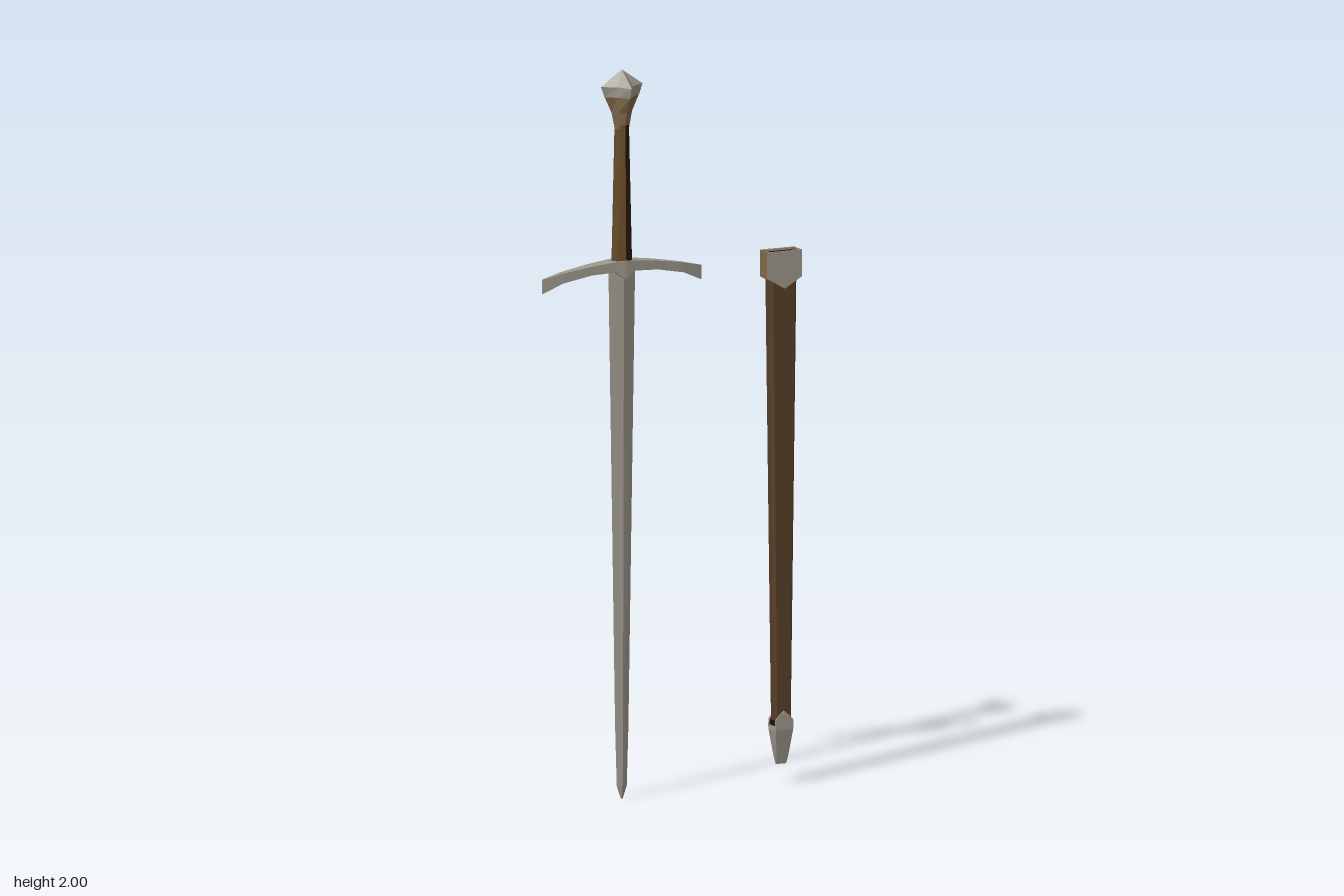
import * as THREE from 'three';

const mat = (name, color) => {
  const m = new THREE.MeshStandardMaterial({ color, flatShading: true });
  m.name = name;
  return m;
};

// Cross-section outlines, counterclockwise seen from above, as [x, z]
const DIAMOND = [[1, 0], [0, -1], [-1, 0], [0, 1]];
const BEVELED = [[1, 0.6], [1, -0.6], [0.8, -1], [-0.8, -1], [-1, -0.6], [-1, 0.6], [-0.8, 1], [0.8, 1]];
const radial = (n, r = () => 1) => Array.from({ length: n }, (_, i) => {
  const a = (i / n) * Math.PI * 2;
  return [Math.cos(a) * r(i), -Math.sin(a) * r(i)];
});

// Scaled outline at height y
const ring = (outline, y, sx, sz = sx) => outline.map(([x, z]) => [x * sx, y, z * sz]);

// Flat-shaded skin through a list of rings, with both ends closed
function loft(rings, pick = () => true) {
  const pos = [];
  const n = rings[0].length;
  const tri = (...pts) => pts.forEach((p) => pos.push(...p));
  for (let k = 0; k < rings.length - 1; k++) {
    for (let i = 0; i < n; i++) {
      if (!pick(i)) continue;
      const j = (i + 1) % n, a = rings[k], b = rings[k + 1];
      tri(a[i], a[j], b[j]);
      tri(a[i], b[j], b[i]);
    }
  }
  const first = rings[0], last = rings[rings.length - 1];
  const mid = (r) => [0, 1, 2].map((c) => r.reduce((s, p) => s + p[c], 0) / n);
  const m0 = mid(first), m1 = mid(last);
  for (let i = 0; i < n; i++) {
    if (!pick(i)) continue;
    const j = (i + 1) % n;
    tri(m0, first[j], first[i]);
    tri(m1, last[i], last[j]);
  }
  const g = new THREE.BufferGeometry();
  g.setAttribute('position', new THREE.Float32BufferAttribute(pos, 3));
  g.computeVertexNormals();
  return g;
}

export function createModel() {
  const steel = mat('steel', 0x9b968b);
  const brass = mat('aged brass', 0x80694a);
  const leather = mat('scabbard leather', 0x563d27);
  const gripBrown = mat('grip brown', 0x654a26);
  const gripDark = mat('grip dark', 0x2c1a0b);
  const lining = mat('dark lining', 0x210d0c);

  const add = (parent, name, geometry, material) => {
    const mesh = new THREE.Mesh(geometry, material);
    mesh.name = name;
    parent.add(mesh);
    return mesh;
  };
  const plate = (points, depth, z) => new THREE.ExtrudeGeometry(
    new THREE.Shape(points.map(([x, y]) => new THREE.Vector2(x, y))),
    { depth, bevelEnabled: false }).translate(0, 0, z - depth / 2);
  const box = (w, h, d, x, y, z) => new THREE.BoxGeometry(w, h, d).translate(x, y, z);

  const model = new THREE.Group();
  model.name = 'swordAndScabbard';
  const sword = new THREE.Group();
  sword.name = 'sword';
  sword.position.x = -0.145;
  const scabbard = new THREE.Group();
  scabbard.name = 'scabbard';
  scabbard.position.x = 0.331;
  model.add(sword, scabbard);

  // Blade: ridged diamond section tapering to the tip
  add(sword, 'blade', loft([
    ring(DIAMOND, 0, 0.003, 0.001), ring(DIAMOND, 0.035, 0.015, 0.006),
    ring(DIAMOND, 0.2, 0.02, 0.008), ring(DIAMOND, 1.46, 0.04, 0.014),
  ]), steel);

  // Crossguard: [x, bottom, top, half depth], mirrored about the middle
  const half = [[0.238, 1.404, 1.444, 0.001], [0.18, 1.43, 1.457, 0.011],
    [0.1, 1.446, 1.47, 0.018], [0.03, 1.45, 1.478, 0.024]];
  const stations = [...half.map(([x, ...r]) => [-x, ...r]), [0, 1.428, 1.48, 0.028], ...half.slice().reverse()];
  add(sword, 'crossguard', loft(stations.map(([x, lo, hi, d]) =>
    [[x, hi, -d], [x, hi, d], [x, lo, d], [x, lo, -d]])), steel);

  // Grip: eight-sided, darker on its left half
  const eight = radial(8);
  const gripRings = [ring(eight, 1.47, 0.031, 0.026), ring(eight, 1.85, 0.019, 0.024)];
  add(sword, 'gripRightHalf', loft(gripRings, (i) => i >= 2 && i < 6), gripBrown);
  add(sword, 'gripLeftHalf', loft(gripRings, (i) => i < 2 || i >= 6), gripDark);

  // Pommel: flared brass neck under a four-pointed star cap
  const star = (inner) => radial(8, (i) => (i % 2 ? inner : 1));
  add(sword, 'pommelNeck', loft([
    ring(star(0.95), 1.838, 0.021), ring(star(0.85), 1.885, 0.031), ring(star(0.62), 1.93, 0.052),
  ]), brass);
  add(sword, 'pommelCap', loft([
    ring(star(0.62), 1.928, 0.052), ring(star(0.54), 1.957, 0.062), ring(star(0.54), 2, 0.001),
  ]), steel);

  // Scabbard body
  add(scabbard, 'scabbardBody', loft([
    ring(BEVELED, 0.15, 0.024, 0.018), ring(BEVELED, 1.43, 0.041, 0.02),
  ]), leather);

  // Throat: pointed plates front and back, brass sides, dark mouth
  const throat = [[-0.051, 1.392], [0, 1.362], [0.051, 1.392], [0.051, 1.465], [-0.051, 1.465]];
  for (const s of [-1, 1]) {
    add(scabbard, s > 0 ? 'throatFront' : 'throatBack', plate(throat, 0.005, s * 0.0225), steel);
    add(scabbard, s > 0 ? 'throatLeftSide' : 'throatRightSide',
      box(0.009, 0.073, 0.044, s * 0.0468, 1.4285, 0), brass);
  }
  add(scabbard, 'mouthLining', box(0.086, 0.05, 0.04, 0, 1.434, 0), lining);

  // Chape: wedge tip, dark collar and pointed tongues
  add(scabbard, 'chape', loft([
    ring(BEVELED, 0.055, 0.015, 0.002), ring(BEVELED, 0.075, 0.02, 0.006),
    ring(BEVELED, 0.15, 0.031, 0.021), ring(BEVELED, 0.163, 0.03, 0.022),
  ]), steel);
  add(scabbard, 'chapeCollar', loft([
    ring(BEVELED, 0.162, 0.028, 0.02), ring(BEVELED, 0.177, 0.027, 0.02),
  ]), lining);
  const tongue = [[-0.027, 0.155], [0.027, 0.155], [0.026, 0.178], [0.014, 0.192], [0, 0.203], [-0.014, 0.192], [-0.026, 0.178]];
  for (const s of [-1, 1]) {
    add(scabbard, s > 0 ? 'chapeFrontTongue' : 'chapeBackTongue', plate(tongue, 0.005, s * 0.0205), steel);
  }
  return model;
}
